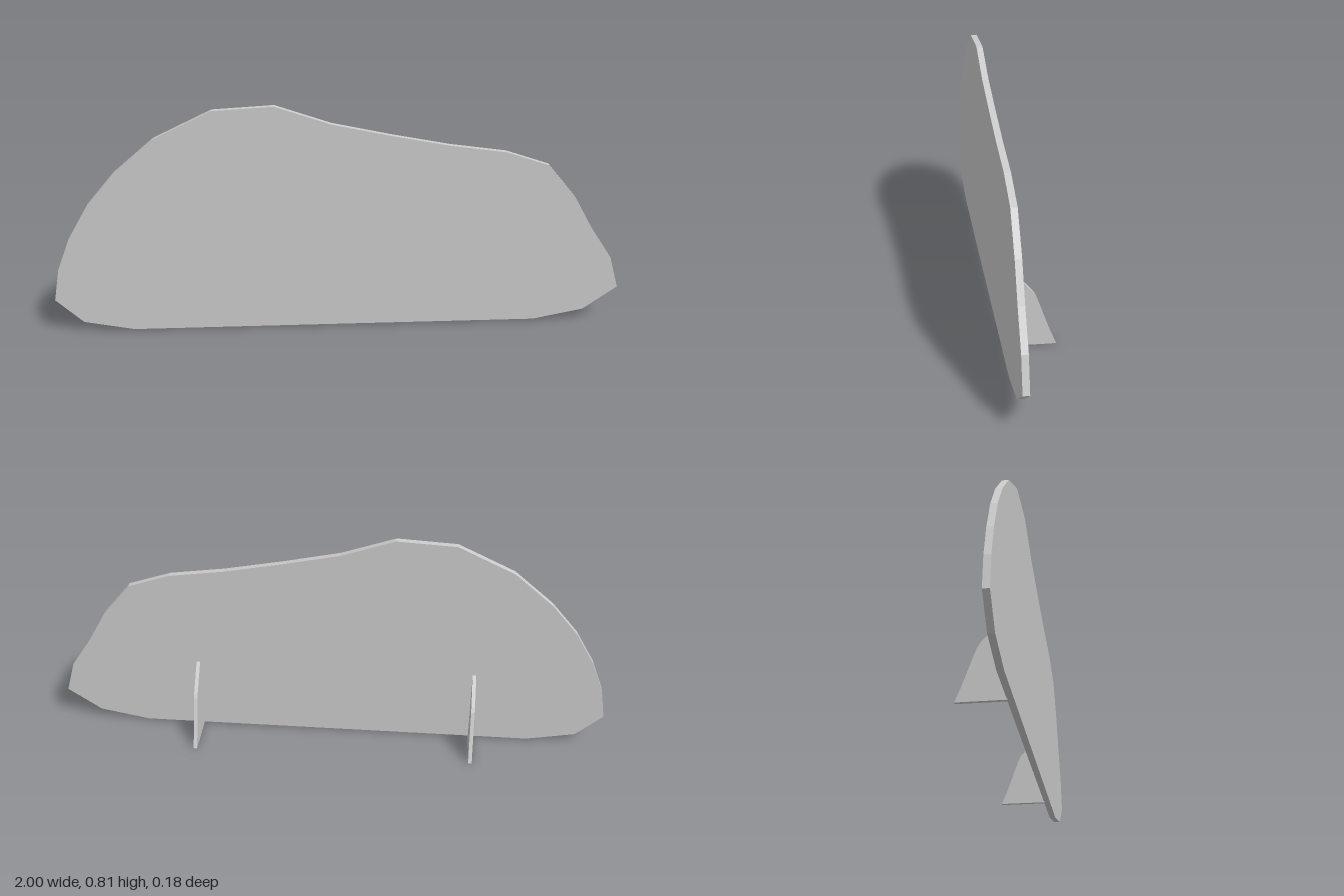
import * as THREE from 'three';

const material = new THREE.MeshStandardMaterial({ color: 0xcccccc, flatShading: true });

// Flat plate cut from a point outline, depth running along +z
function plate(points, depth) {
  const shape = new THREE.Shape(points.map(([x, y]) => new THREE.Vector2(x, y)));
  return new THREE.ExtrudeGeometry(shape, { depth, bevelEnabled: false });
}

export function createModel() {
  const model = new THREE.Group();
  model.name = 'standingPanel';

  // Upright panel with a hill-shaped outline
  const outline = [
    [0.7, 0.005], [0.88, 0.04], [1, 0.125], [0.967, 0.24], [0.89, 0.355],
    [0.825, 0.47], [0.725, 0.59], [0.575, 0.64], [0.38, 0.667], [0.17, 0.707],
    [-0.03, 0.75], [-0.22, 0.815], [-0.43, 0.803], [-0.63, 0.707], [-0.77, 0.587],
    [-0.865, 0.475], [-0.935, 0.355], [-0.98, 0.24], [-1, 0.125], [-0.905, 0.038],
    [-0.73, 0.005],
  ];
  const panel = new THREE.Mesh(plate(outline, 0.022), material);
  panel.name = 'panel';
  panel.position.z = 0.069;
  model.add(panel);

  // Two support fins behind the panel; the profile runs backwards, then turns to face sideways
  const profile = [
    [-0.071, 0], [0.09, 0], [0.07, 0.047], [0.03, 0.157],
    [0.022, 0.178], [0.011, 0.195], [-0.03, 0.24], [-0.071, 0.282],
  ];
  const thickness = 0.013;
  const finGeometry = plate(profile, thickness).translate(0, 0, -thickness / 2).rotateY(Math.PI / 2);
  for (const [name, x] of [['rightSupport', -0.519], ['leftSupport', 0.492]]) {
    const fin = new THREE.Mesh(finGeometry, material);
    fin.name = name;
    fin.position.x = x;
    model.add(fin);
  }
  return model;
}
